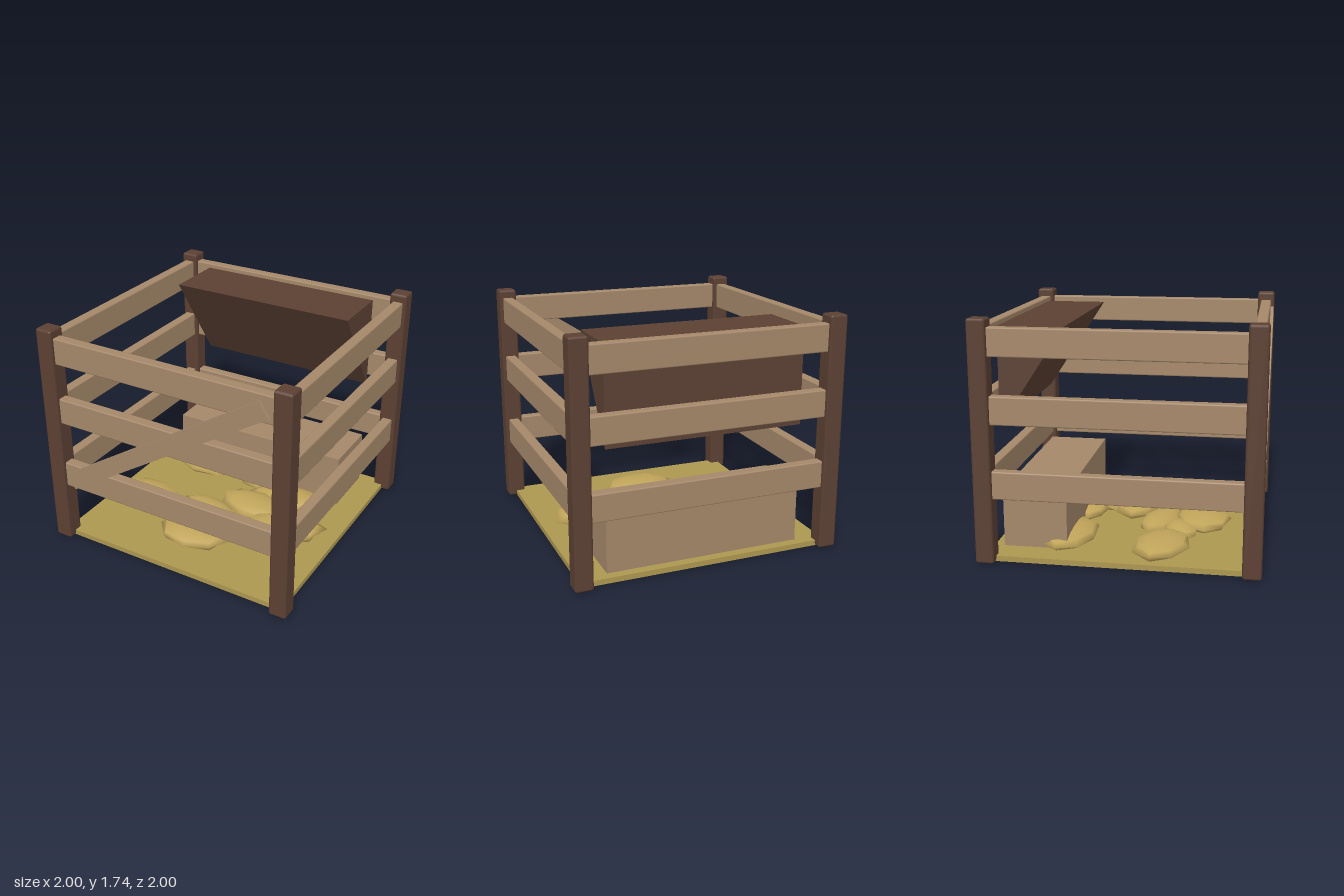
import * as THREE from 'three';
import { RoundedBoxGeometry } from 'three/addons/geometries/RoundedBoxGeometry.js';
import { mergeVertices } from 'three/addons/utils/BufferGeometryUtils.js';

export function createModel() {
  const model = new THREE.Group();
  model.name = 'animalPen';
  const paint = (name, color) => {
    const m = new THREE.MeshStandardMaterial({ color });
    m.name = name;
    return m;
  };
  const darkWood = paint('dark wood', 0x5c4033);
  const paleWood = paint('pale wood', 0xa5886a);
  const bedding = paint('straw bedding', 0xad9750);
  const straw = paint('straw heap', 0xc0a45a);

  const add = (name, geometry, material, x = 0, y = 0, z = 0, parent = model) => {
    const mesh = new THREE.Mesh(geometry, material);
    mesh.name = name;
    mesh.position.set(x, y, z);
    parent.add(mesh);
    return mesh;
  };

  // Corner posts with chamfered edges
  const E = 0.932;
  const postGeo = new RoundedBoxGeometry(0.134, 1.73, 0.134, 1, 0.018);
  for (const x of [-E, E]) for (const z of [-E, E]) add('cornerPost', postGeo, darkWood, x, 0.865, z);

  // Three rails on each of the four sides
  const railX = new RoundedBoxGeometry(1.76, 0.2, 0.08, 1, 0.01);
  const railZ = new RoundedBoxGeometry(0.08, 0.2, 1.76, 1, 0.01);
  for (const y of [0.57, 1.1, 1.57]) {
    for (const s of [-1, 1]) {
      add(s > 0 ? 'frontRail' : 'backRail', railX, paleWood, 0, y, s * E);
      add(s > 0 ? 'leftRail' : 'rightRail', railZ, paleWood, s * E, y, 0);
    }
  }

  // Diagonal brace on the front gate
  const brace = add('gateBrace', new THREE.BoxGeometry(1.912, 0.13, 0.027), paleWood, -0.002, 1.055, 0.983);
  brace.rotation.z = Math.atan2(1.04, 1.605);

  // Floor of straw
  add('beddingFloor', new THREE.BoxGeometry(1.87, 0.04, 1.87), bedding, 0, 0.02, 0);

  // Low trough box against the back
  add('troughBox', new THREE.BoxGeometry(1.464, 0.465, 0.465), paleWood, 0, 0.2325, -0.632);

  // Wedge-shaped hay rack: profile in (-z, y), extruded across x
  const wedge = new THREE.Shape();
  wedge.moveTo(0.4, 1.645);
  wedge.lineTo(0.868, 0.935);
  wedge.lineTo(0.868, 1.645);
  wedge.closePath();
  const rackGeo = new THREE.ExtrudeGeometry(wedge, { depth: 1.464, bevelEnabled: false });
  rackGeo.translate(0, 0, -0.732);
  rackGeo.rotateY(Math.PI / 2);
  add('hayRack', rackGeo, darkWood);

  // Flattened, slightly irregular straw heaps
  const heaps = new THREE.Group();
  heaps.name = 'strawHeaps';
  model.add(heaps);
  const heapGeometry = (rx, rz, seed) => {
    let g = new THREE.SphereGeometry(1, 8, 6);
    g.deleteAttribute('uv');
    g.deleteAttribute('normal');
    g = mergeVertices(g, 1e-3);
    const p = g.attributes.position;
    for (let i = 0; i < p.count; i++) {
      const k = 1 + 0.07 * Math.sin(i * 2.7 + seed * 1.9);
      p.setXYZ(i, p.getX(i) * rx * k, p.getY(i) * 0.06, p.getZ(i) * rz * k);
    }
    g.computeVertexNormals();
    return g;
  };
  // x, z, half length, half width, turn, peak height
  [
    [-0.61, 0.27, 0.29, 0.2, -0.2, 0.13],
    [-0.03, 0.52, 0.29, 0.215, 0.1, 0.135],
    [-0.08, 0.2, 0.28, 0.14, -0.25, 0.12],
    [0.2, -0.01, 0.31, 0.175, -0.1, 0.14],
    [0.53, 0.14, 0.32, 0.2, 0.45, 0.14],
    [0.36, -0.25, 0.3, 0.165, 0.2, 0.13],
    [-0.5, -0.43, 0.32, 0.2, -0.15, 0.13],
    [0.13, -0.4, 0.28, 0.15, 0.1, 0.125],
    [-0.24, 0.37, 0.19, 0.13, 0.3, 0.11],
  ].forEach(([x, z, rx, rz, turn, top], i) => {
    add('strawHeap', heapGeometry(rx, rz, i), straw, x, top - 0.06, z, heaps).rotation.y = turn;
  });

  return model;
}
